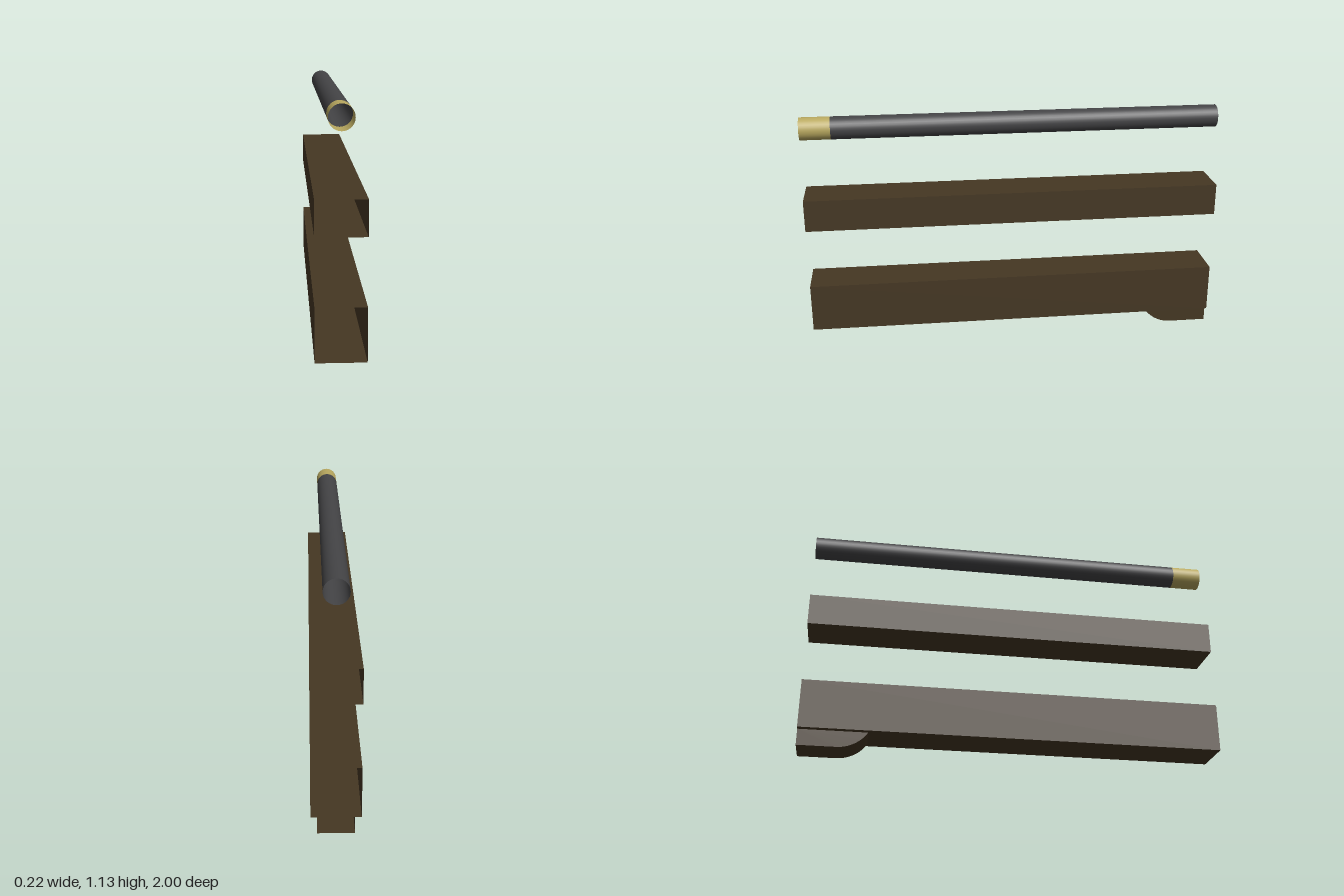
import * as THREE from 'three';

const makeMaterial = (name, color) => {
  const m = new THREE.MeshStandardMaterial({ color, side: THREE.DoubleSide });
  m.name = name;
  return m;
};

// Flat-shaded wall made by sweeping a line of points along one vector
function sweep(points, vector) {
  const pos = [];
  for (let i = 0; i < points.length - 1; i++) {
    const a = points[i], b = points[i + 1];
    const c = b.clone().add(vector), d = a.clone().add(vector);
    for (const p of [a, b, c, a, c, d]) pos.push(p.x, p.y, p.z);
  }
  const g = new THREE.BufferGeometry();
  g.setAttribute('position', new THREE.Float32BufferAttribute(pos, 3));
  g.computeVertexNormals();
  return g;
}

export function createModel() {
  const group = new THREE.Group();
  const wood = makeMaterial('dark wood', 0x453723);
  const iron = makeMaterial('dark iron', 0x444446);
  const brass = makeMaterial('brass', 0xb8a85f);

  const add = (name, geometry, material, parent = group) => {
    const mesh = new THREE.Mesh(geometry, material);
    mesh.name = name;
    parent.add(mesh);
    return mesh;
  };

  // Hollow beams, open at both ends
  const beam = (name, y0, y1, half = 0.108) => {
    const corners = [[-half, y0], [half, y0], [half, y1], [-half, y1], [-half, y0]]
      .map(([x, y]) => new THREE.Vector3(x, y, -1));
    add(name, sweep(corners, new THREE.Vector3(0, 0, 2)), wood);
  };
  const lowY = 0.077;
  beam('lowerBeam', lowY, 0.31);
  beam('upperBeam', 0.6, 0.753);

  // Curved bracket under the back end of the lower beam, open at the back
  const bracket = new THREE.Group();
  bracket.name = 'bracket';
  group.add(bracket);
  const half = 0.08, flatZ = -0.82, radius = 0.165;
  const startAngle = -Math.asin((radius - lowY) / radius);
  const profile = [];
  for (let i = 0; i <= 14; i++) {
    const a = THREE.MathUtils.lerp(startAngle, -Math.PI / 2, i / 14);
    profile.push(new THREE.Vector2(flatZ + radius * Math.cos(a), radius + radius * Math.sin(a)));
  }
  profile.push(new THREE.Vector2(-1, 0));
  add('bracketUnderside', sweep(
    profile.map((p) => new THREE.Vector3(-half, p.y, p.x)),
    new THREE.Vector3(2 * half, 0, 0)), wood, bracket);
  const sideShape = new THREE.Shape([...profile, new THREE.Vector2(-1, lowY)]);
  for (const [name, x] of [['bracketLeftSide', half], ['bracketRightSide', -half]]) {
    const side = new THREE.ShapeGeometry(sideShape);
    // Face each side outwards
    if (x > 0) side.scale(-1, 1, 1).rotateY(Math.PI / 2);
    else side.rotateY(-Math.PI / 2);
    side.translate(x, 0, 0);
    if (x > 0) side.computeVertexNormals();
    add(name, side, wood, bracket);
  }

  // Open pipe with a brass tip at the front
  const pipe = (name, z0, z1, material) => {
    const g = new THREE.CylinderGeometry(0.054, 0.054, z1 - z0, 32, 1, true);
    g.rotateX(Math.PI / 2).translate(0, 1.076, (z0 + z1) / 2);
    add(name, g, material);
  };
  pipe('pipe', -1, 0.855, iron);
  pipe('pipeTip', 0.855, 1, brass);

  return group;
}
